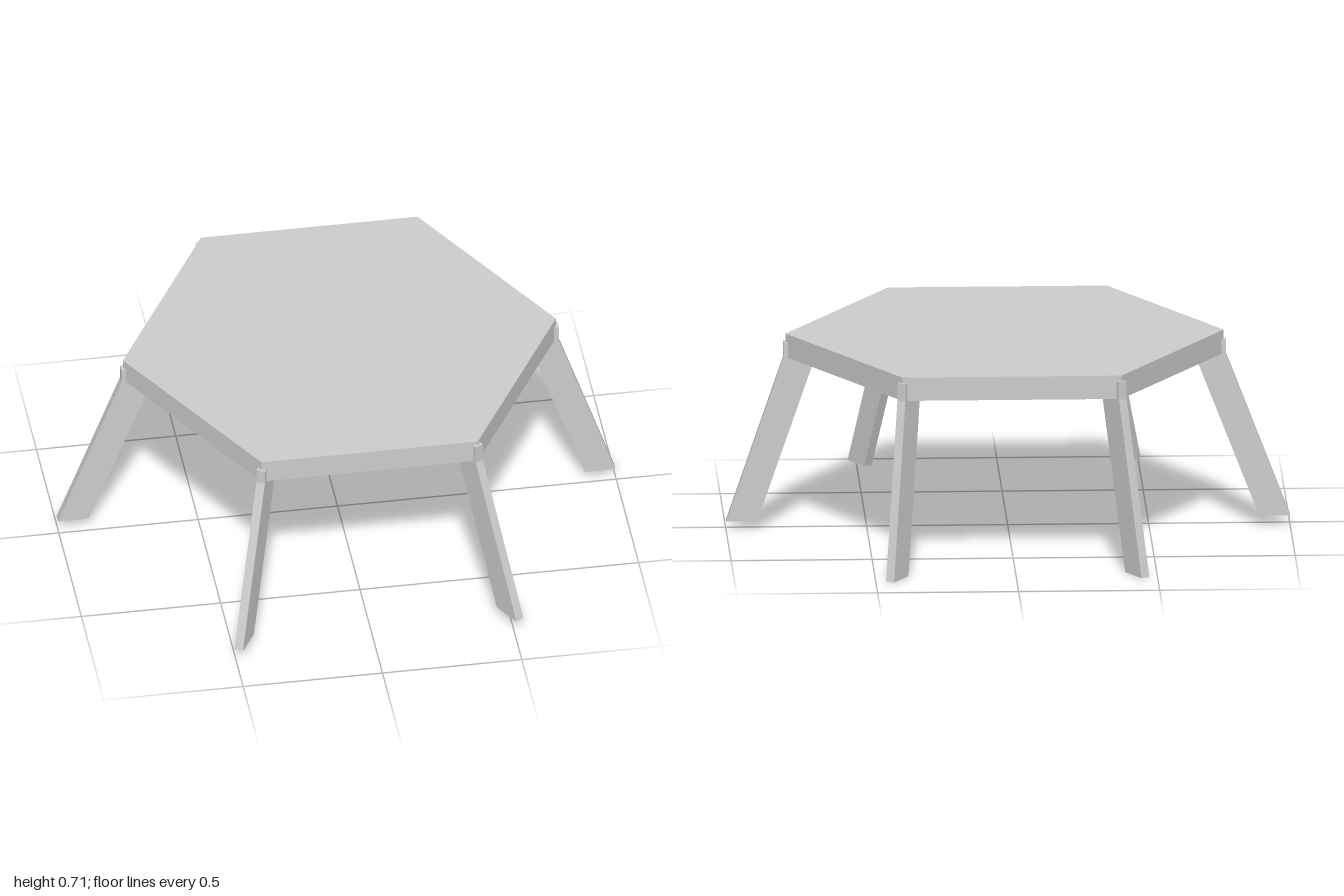
import * as THREE from 'three';

const CX = 0.012, CZ = -0.032, R = 0.777; // hexagon centre and radius
const BOTTOM = 0.63, TOP = 0.715;
const THICK = 0.032;

const material = new THREE.MeshStandardMaterial({ color: 0xcccccc, flatShading: true });

// Radial plate with a tab on the table corner, sheared so its foot lands at the given point
function makeLeg(name, degrees, tabTop, foot) {
  const a = THREE.MathUtils.degToRad(degrees);
  const c = Math.cos(a), s = Math.sin(a);
  const dx = foot[0] - CX - R * c, dz = foot[2] - CZ - R * s;
  const out = dx * c + dz * s;   // foot offset away from the centre
  const side = -dx * s + dz * c; // foot offset sideways
  const profile = new THREE.Shape([
    [-0.02, tabTop], [-0.02, BOTTOM], [-0.104, BOTTOM], [out - 0.11, foot[1]],
    [out, foot[1]], [0.008, BOTTOM], [0.008, tabTop],
  ].map(([x, y]) => new THREE.Vector2(x, y)));
  const geometry = new THREE.ExtrudeGeometry(profile, { depth: THICK, bevelEnabled: false });
  geometry.translate(0, 0, -THICK / 2);
  const p = geometry.attributes.position;
  for (let i = 0; i < p.count; i++) {
    const drop = Math.max(0, (BOTTOM - p.getY(i)) / (BOTTOM - foot[1]));
    p.setZ(i, p.getZ(i) + side * drop);
  }
  geometry.translate(R, 0, 0);
  geometry.rotateY(-a);
  geometry.translate(CX, 0, CZ);
  geometry.computeVertexNormals();
  const leg = new THREE.Mesh(geometry, material);
  leg.name = name;
  return leg;
}

export function createModel() {
  const group = new THREE.Group();
  group.name = 'hexagonalTable';

  // Six-sided slab with corners on the x axis
  const slab = new THREE.CylinderGeometry(R, R, TOP - BOTTOM, 6);
  slab.rotateY(Math.PI / 2);
  const top = new THREE.Mesh(slab, material);
  top.name = 'tableTop';
  top.position.set(CX, (TOP + BOTTOM) / 2, CZ);
  group.add(top);

  // Splayed legs, each with its own slightly uneven foot
  const legs = [
    ['leftLeg', 0, 0.687, [1.0, 0.035, -0.033]],
    ['frontLeftLeg', 60, 0.7, [0.522, 0.045, 0.822]],
    ['frontRightLeg', 120, 0.682, [-0.49, 0.042, 0.838]],
    ['rightLeg', 180, 0.682, [-1.0, 0.04, -0.035]],
    ['backRightLeg', 240, 0.695, [-0.457, 0.003, -0.81]],
    ['backLeftLeg', 300, 0.695, [0.45, 0.005, -0.848]],
  ];
  for (const leg of legs) group.add(makeLeg(...leg));
  return group;
}
